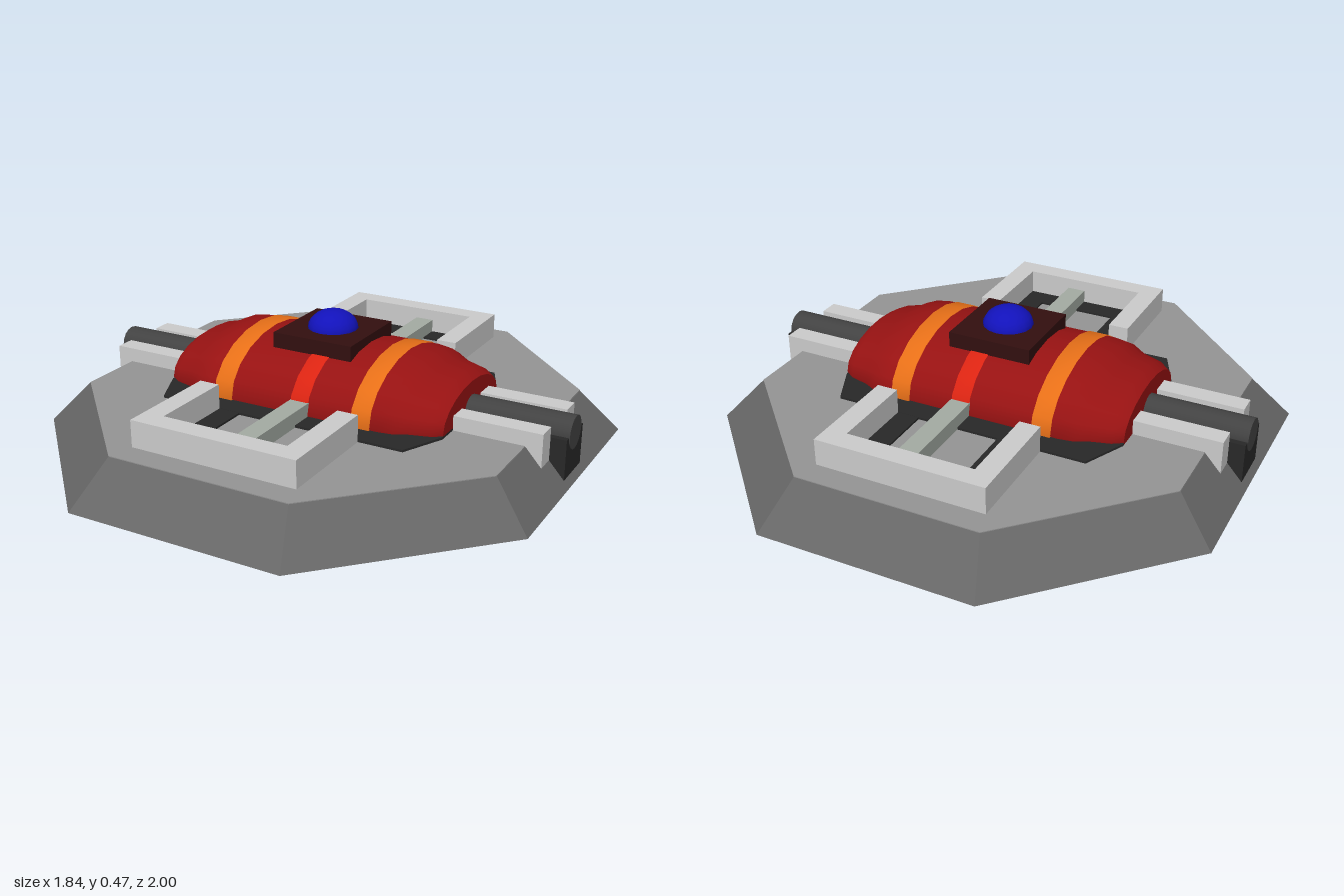
import * as THREE from 'three';

const mat = (color, extra = {}) => new THREE.MeshStandardMaterial({ color, ...extra });
const LIGHT = mat(0xcccccc);
const DECK = mat(0x959595);
const SLOPE = mat(0x666666);
const DARK = mat(0x282828);
const PIPE = mat(0x424242);
const BAR = mat(0xa4aba3);
const RED = mat(0x971212);
const BRIGHT_RED = mat(0xdc2412);
const ORANGE = mat(0xe87018);
const MAROON = mat(0x320f0f);
const BLUE = mat(0x1212bb);

function add(parent, name, geometry, material, x = 0, y = 0, z = 0) {
  const mesh = new THREE.Mesh(geometry, material);
  mesh.name = name;
  mesh.position.set(x, y, z);
  parent.add(mesh);
  return mesh;
}

// Box given by its lower and upper limits on each axis
function box(parent, name, material, [x0, x1], [y0, y1], [z0, z1]) {
  return add(parent, name, new THREE.BoxGeometry(x1 - x0, y1 - y0, z1 - z0), material,
    (x0 + x1) / 2, (y0 + y1) / 2, (z0 + z1) / 2);
}

// Eight-sided slab with cut corners; the top outline is scaled by taper
function octagonSlab(halfX, halfZ, cutX, cutZ, height, taper = 1) {
  const corners = [[halfX, -cutZ], [halfX, cutZ], [cutX, halfZ], [-cutX, halfZ],
    [-halfX, cutZ], [-halfX, -cutZ], [-cutX, -halfZ], [cutX, -halfZ]];
  const shape = new THREE.Shape(corners.map(([x, y]) => new THREE.Vector2(x, y)));
  const geo = new THREE.ExtrudeGeometry(shape, { depth: height, bevelEnabled: false });
  geo.rotateX(-Math.PI / 2);
  const p = geo.attributes.position;
  for (let i = 0; i < p.count; i++) {
    if (p.getY(i) > height / 2) p.setXYZ(i, p.getX(i) * taper, p.getY(i), p.getZ(i) * taper);
  }
  geo.computeVertexNormals();
  return geo;
}

// Oval body along x from stations [x, half width, half height]
function ovalBody(stations) {
  const pts = stations.map(([x, w]) => new THREE.Vector2(w, x));
  const geo = new THREE.LatheGeometry(pts, 20, Math.PI / 2);
  geo.rotateZ(-Math.PI / 2);
  const p = geo.attributes.position;
  for (let i = 0; i < p.count; i++) {
    const [, w, h] = stations[i % stations.length];
    if (w > 0) p.setY(i, p.getY(i) * h / w);
  }
  geo.computeVertexNormals();
  return geo;
}

// U-shaped outline open towards the centre, extruded upward
function uFrame(half, near, far, thick, height) {
  const pts = [[-half, near], [-half + thick, near], [-half + thick, far - thick],
    [half - thick, far - thick], [half - thick, near], [half, near], [half, far], [-half, far]];
  const shape = new THREE.Shape(pts.map(([x, z]) => new THREE.Vector2(x, -z)));
  const geo = new THREE.ExtrudeGeometry(shape, { depth: height, bevelEnabled: false });
  return geo.rotateX(-Math.PI / 2);
}

export function createModel() {
  const model = new THREE.Group();
  model.name = 'octagonalPod';

  // Sloped base, its deck and the dark plate below the body
  add(model, 'base', octagonSlab(0.92, 1, 0.385, 0.46, 0.147, 0.857), SLOPE, 0, 0.03);
  add(model, 'deck', octagonSlab(0.787, 0.857, 0.33, 0.395, 0.004), DECK, 0, 0.176);
  add(model, 'bodyPlate', octagonSlab(0.535, 0.385, 0.465, 0.235, 0.009), DARK, 0, 0.179);

  // Front and back frames
  for (const [name, turn] of [['frontFrame', 0], ['backFrame', Math.PI]]) {
    const frame = new THREE.Group();
    frame.name = name;
    frame.rotation.y = turn;
    add(frame, 'rim', uFrame(0.305, 0.385, 0.77, 0.075, 0.097), LIGHT, 0, 0.178);
    add(frame, 'darkInlay', uFrame(0.235, 0.38, 0.7, 0.085, 0.008), DARK, 0, 0.179);
    model.add(frame);
  }
  box(model, 'crossBar', BAR, [0, 0.07], [0.17, 0.235], [-0.695, 0.695]);

  // Side arms: pipe on a block between two rails
  for (const side of [1, -1]) {
    const arm = new THREE.Group();
    arm.name = side > 0 ? 'leftArm' : 'rightArm';
    arm.rotation.y = side > 0 ? 0 : Math.PI;
    box(arm, 'pipeBlock', DARK, [0.45, 0.9], [0.05, 0.195], [-0.08, 0.08]);
    const pipe = new THREE.CylinderGeometry(0.058, 0.058, 0.46, 16).rotateZ(Math.PI / 2);
    add(arm, 'pipe', pipe, PIPE, 0.672, 0.195);
    for (const z of [0.08, -0.152]) {
      box(arm, 'rail', LIGHT, [0.45, 0.845], [0.11, 0.232], [z, z + 0.072]);
    }
    model.add(arm);
  }

  // Oval body with stepped ends
  const half = [[0.33, 0.303, 0.182], [0.385, 0.295, 0.174], [0.43, 0.272, 0.147],
    [0.5, 0.253, 0.13], [0.535, 0.23, 0.108]];
  const mirrored = half.map(([x, w, h]) => [-x, w, h]).reverse();
  add(model, 'body', ovalBody([...mirrored, ...half]), RED, 0, 0.195);
  for (const side of [1, -1]) {
    const cap = new THREE.CircleGeometry(1, 20).rotateY(side * Math.PI / 2);
    cap.scale(1, 0.108, 0.23);
    add(model, 'bodyEnd', cap, RED, side * 0.535, 0.195);
  }

  // Raised bands around the body
  const band = (name, x0, x1, material) => add(model, name, ovalBody([
    [x0, 0.29, 0.17], [x0 + 0.002, 0.309, 0.188], [x1 - 0.002, 0.309, 0.188], [x1, 0.29, 0.17],
  ]), material, 0, 0.192);
  band('leftBand', 0.232, 0.305, ORANGE);
  band('rightBand', -0.305, -0.232, ORANGE);
  band('centreBand', 0, 0.07, BRIGHT_RED);

  // Top housing with its dome
  box(model, 'domeHousing', MAROON, [-0.153, 0.153], [0.35, 0.405], [-0.153, 0.153]);
  const dome = new THREE.SphereGeometry(0.09, 16, 6, 0, Math.PI * 2, 0, Math.PI / 2);
  add(model, 'dome', dome.scale(1, 0.74, 1), BLUE, 0, 0.403);

  return model;
}
